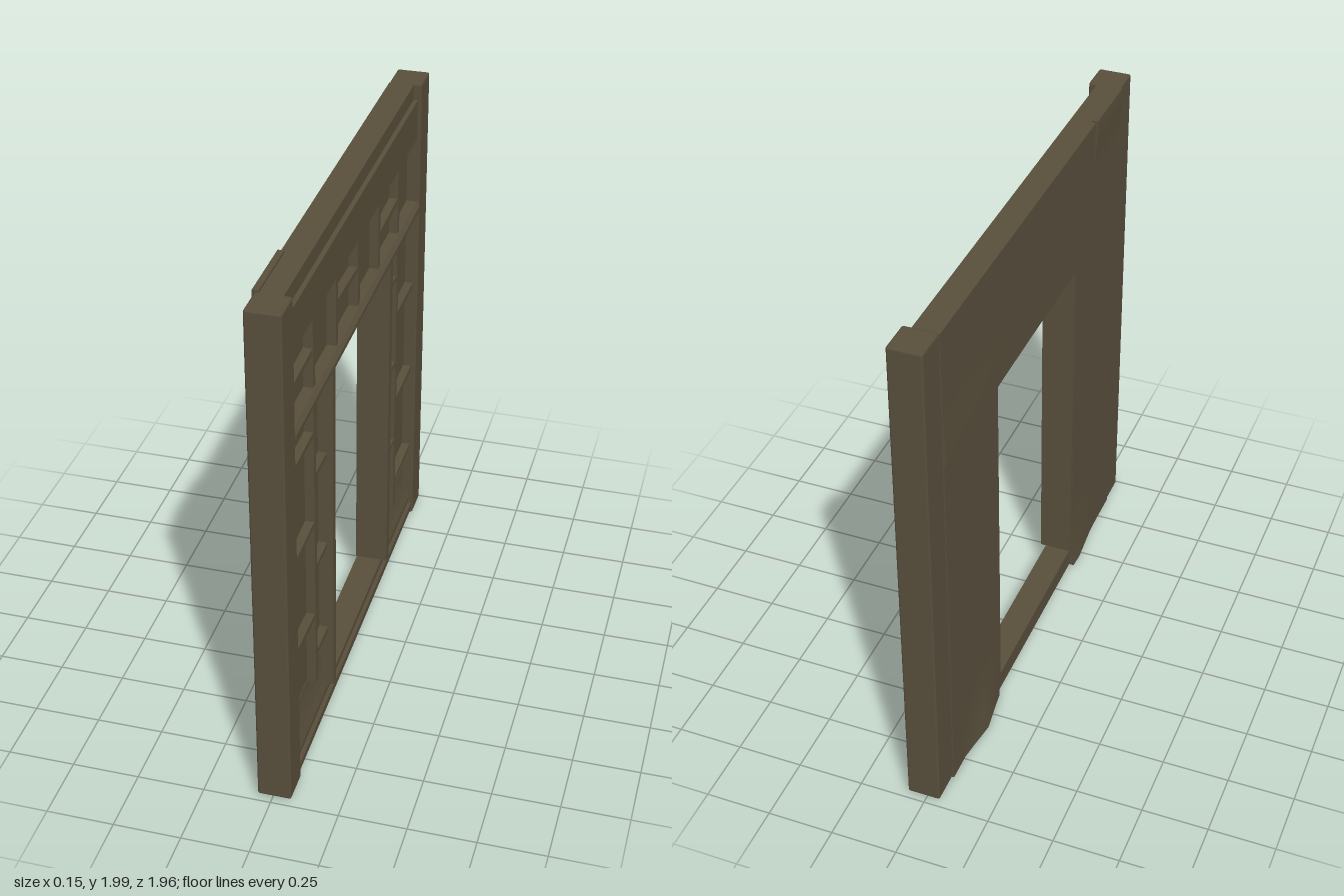
import * as THREE from 'three';
import { RoundedBoxGeometry } from 'three/addons/geometries/RoundedBoxGeometry.js';

export function createModel() {
  const model = new THREE.Group();
  model.name = 'doorwayWall';
  const wood = new THREE.MeshStandardMaterial({ color: 0x584e3b });
  wood.name = 'dark timber';

  const add = (name, geometry) => {
    const mesh = new THREE.Mesh(geometry, wood);
    mesh.name = name;
    model.add(mesh);
    return mesh;
  };

  // Box given by its limits on each axis, optionally tilted in the wall plane
  const block = (name, x0, x1, y0, y1, z0, z1, tilt = 0) => {
    const mesh = add(name, new THREE.BoxGeometry(x1 - x0, y1 - y0, z1 - z0));
    mesh.position.set((x0 + x1) / 2, (y0 + y1) / 2, (z0 + z1) / 2);
    mesh.rotation.x = tilt;
    return mesh;
  };

  // Cross-section in x,y run along z
  const rail = (name, points, z0, z1) => {
    const shape = new THREE.Shape(points.map(([x, y]) => new THREE.Vector2(x, y)));
    const mesh = add(name, new THREE.ExtrudeGeometry(shape, { depth: z1 - z0, bevelEnabled: false }));
    mesh.position.z = z0;
    return mesh;
  };

  // Corner posts
  for (const [z0, z1] of [[0.855, 0.98], [-0.98, -0.85]]) {
    const post = add('cornerPost', new RoundedBoxGeometry(0.125, 1.975, z1 - z0, 1, 0.008));
    post.position.set(0.0085, 1.0075, (z0 + z1) / 2);
  }

  // Recessed infill around the doorway
  block('infillTop', -0.045, 0.02, 1.47, 1.96, -0.85, 0.855);
  block('infillLeft', -0.045, 0.02, 0.06, 1.47, 0.4, 0.855);
  block('infillRight', -0.045, 0.02, 0.06, 1.47, -0.85, -0.4);

  // Header board with a set-back top rail
  rail('header', [[-0.045, 1.77], [0.057, 1.77], [0.057, 1.93], [0.04, 1.93], [0.04, 1.99], [-0.045, 1.99]], -0.85, 0.855);

  // Lintel and moulded sill
  rail('lintel', [[-0.05, 1.47], [0.074, 1.47], [0.074, 1.488], [0.06, 1.505], [-0.05, 1.505]], -0.85, 0.855);
  rail('sill', [[-0.05, 0.025], [0.052, 0.025], [0.064, 0.036], [0.064, 0.065], [0.052, 0.075], [0.052, 0.1], [-0.05, 0.1]], -0.85, 0.855);

  // Door jambs
  block('jambLeft', -0.054, 0.074, 0.1, 1.475, 0.39, 0.425);
  block('jambRight', -0.054, 0.074, 0.1, 1.475, -0.42, -0.38);

  // Curved skirting at the foot of each side
  const scoop = [[0, 0.09], [0.052, 0.09], [0.05, 0.105], [0.04, 0.135], [0.031, 0.175], [0.025, 0.215], [0.022, 0.25], [0, 0.25]];
  rail('skirting', scoop, 0.425, 0.855);
  rail('skirting', scoop, -0.85, -0.42);

  // Upright studs: centre z, bottom
  for (const [z, y0] of [[0.578, 0.24], [-0.578, 0.24], [0.294, 1.5], [0.004, 1.5], [-0.284, 1.5]]) {
    block('stud', 0.01, 0.054, y0, 1.775, z - 0.0125, z + 0.0125);
  }

  // Cross battens: bay limits, then [height, tilt]
  const bays = [
    [0.59, 0.857, [[1.64, 0.03], [1.318, 0], [0.945, 0.025], [0.55, -0.035]]],
    [0.425, 0.566, [[1.133, -0.03], [0.745, 0], [0.36, 0]]],
    [0.015, 0.283, [[1.655, -0.04]]],
    [-0.566, -0.296, [[1.635, 0.035]]],
    [-0.566, -0.42, [[1.313, -0.035], [0.93, -0.035], [0.56, 0.04]]],
    [-0.852, -0.59, [[1.135, -0.02], [0.745, 0], [0.357, 0.03]]],
  ];
  for (const [z0, z1, battens] of bays) {
    for (const [y, tilt] of battens) block('batten', 0.01, 0.052, y - 0.011, y + 0.011, z0, z1, tilt);
  }

  // Warped back boards: the amount of outward lift depends on y and z
  const peak = (v, centre, width) => Math.max(0, 1 - Math.abs(v - centre) / width);
  const board = (name, y0, y1, z0, z1, lift) => {
    const geometry = new THREE.BoxGeometry(0.015, y1 - y0, z1 - z0, 1, 14, 8);
    geometry.translate(-0.048, (y0 + y1) / 2, (z0 + z1) / 2);
    const p = geometry.attributes.position;
    for (let i = 0; i < p.count; i++) {
      if (p.getX(i) < -0.05) p.setX(i, p.getX(i) - lift(p.getY(i), p.getZ(i)));
    }
    geometry.computeVertexNormals();
    add(name, geometry);
  };
  board('backBoardTop', 1.47, 1.99, -0.85, 0.58, (y, z) => 0.008 * peak(y, 1.5, 0.15) * peak(z, -0.8, 0.4));
  board('backBoardCorner', 1.47, 1.998, 0.58, 0.855, (y) => 0.009 * peak(y, 1.97, 0.15));
  board('backBoardLeft', 0.02, 1.47, 0.4, 0.855, (y, z) => 0.016 * peak(y, 0.02, 0.16) * peak(z, 0.45, 0.2));
  board('backBoardRight', 0.008, 1.47, -0.85, -0.4, (y, z) => 0.024 * peak(y, 0.01, 0.16) * peak(z, -0.57, 0.16));

  return model;
}
